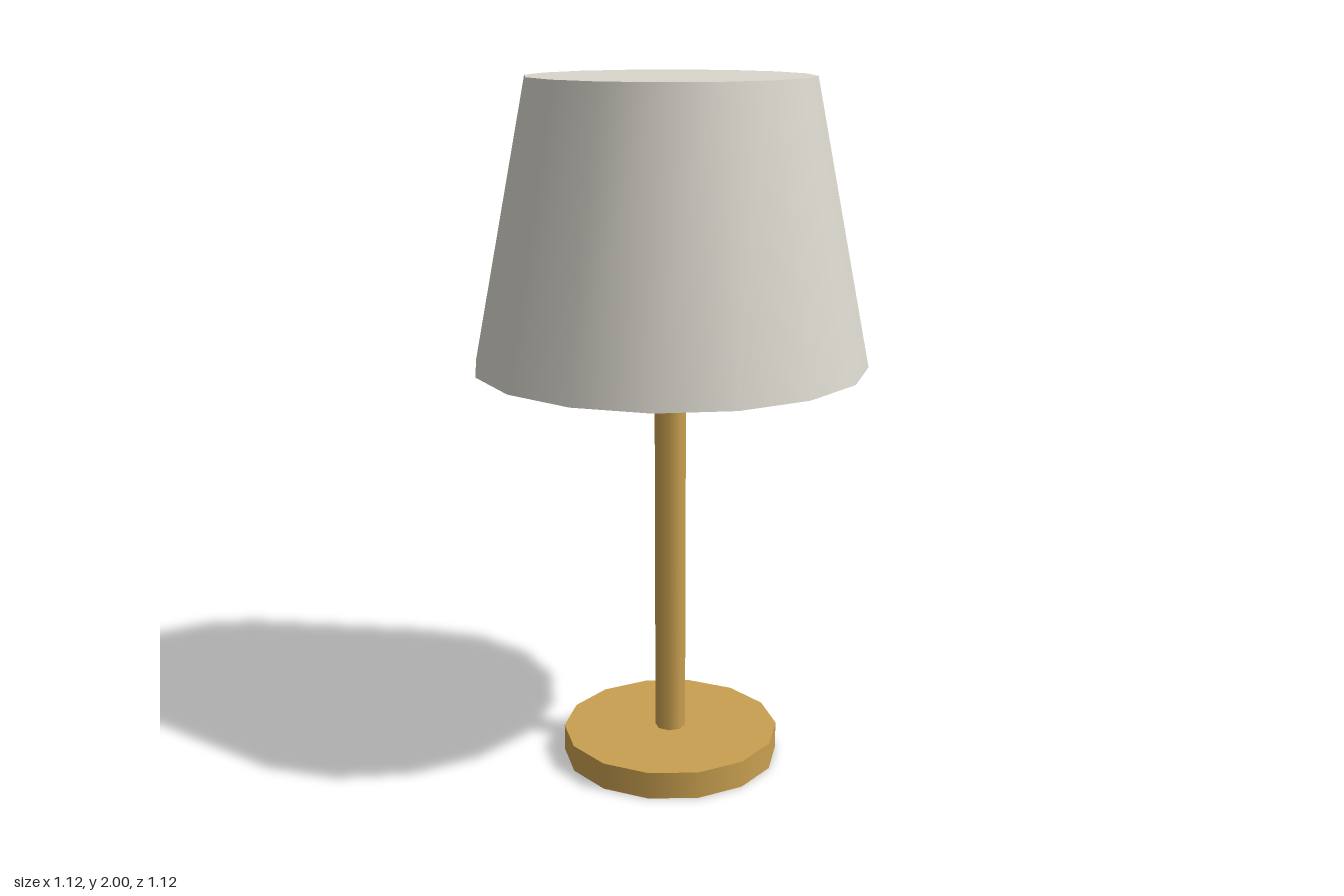
import * as THREE from 'three';

export function createModel() {
  const lamp = new THREE.Group();
  lamp.name = 'tableLamp';

  const brass = new THREE.MeshStandardMaterial({ color: 0xc9a050 });
  brass.name = 'brass';
  const fabric = new THREE.MeshStandardMaterial({ color: 0xd9d6cc });
  fabric.name = 'shadeFabric';

  // Upright round part spanning two heights
  function roundPart(name, topRadius, bottomRadius, y0, y1, sides, material) {
    const geometry = new THREE.CylinderGeometry(topRadius, bottomRadius, y1 - y0, sides);
    const mesh = new THREE.Mesh(geometry, material);
    mesh.name = name;
    mesh.position.y = (y0 + y1) / 2;
    lamp.add(mesh);
  }

  roundPart('base', 0.32, 0.32, 0, 0.08, 14, brass);
  roundPart('stem', 0.045, 0.045, 0.08, 1.2, 8, brass);
  // Closed, tapered shade
  roundPart('shade', 0.4, 0.56, 1.2, 2, 16, fabric);

  return lamp;
}
